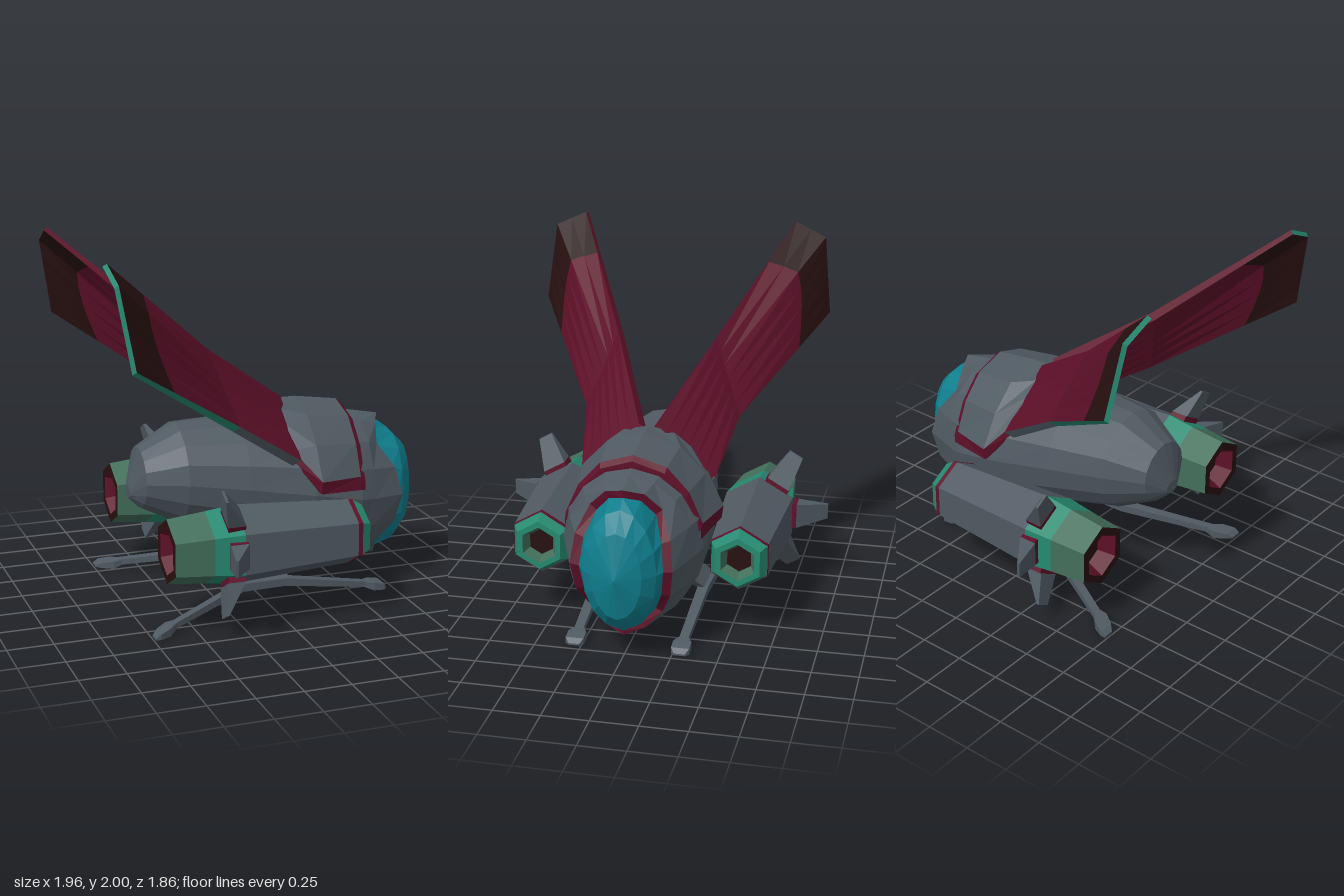
import * as THREE from 'three';

const paint = (name, color) => {
  const m = new THREE.MeshStandardMaterial({ color, flatShading: true, side: THREE.DoubleSide });
  m.name = name;
  return m;
};

const V = (x, y, z) => new THREE.Vector3(x, y, z);

// Skin a grid of points; closed joins each row's end to its start, caps fan the end rows.
function loft(rows, closed = false, caps = false) {
  const p = [];
  const tri = (a, b, c) => p.push(...a.toArray(), ...b.toArray(), ...c.toArray());
  const n = rows[0].length;
  for (let i = 0; i < rows.length - 1; i++) {
    for (let j = 0; j < (closed ? n : n - 1); j++) {
      const k = (j + 1) % n, a = rows[i], b = rows[i + 1];
      tri(a[j], a[k], b[j]);
      tri(a[k], b[k], b[j]);
    }
  }
  if (caps) {
    const first = rows[0], last = rows[rows.length - 1];
    for (let j = 1; j < n - 1; j++) {
      tri(first[0], first[j + 1], first[j]);
      tri(last[0], last[j], last[j + 1]);
    }
  }
  const g = new THREE.BufferGeometry();
  g.setAttribute('position', new THREE.Float32BufferAttribute(p, 3));
  g.computeVertexNormals();
  return g;
}

export function createModel() {
  const grey = paint('hull grey', 0x505a62);
  const red = paint('crimson', 0x5e1029);
  const dark = paint('near black', 0x281011);
  const glass = paint('blue glass', 0x0f7f8e);
  const teal = paint('teal', 0x268a70);
  const green = paint('dull green', 0x436f5b);

  const model = new THREE.Group();
  model.name = 'flyer';
  const add = (parent, name, geo, mat) => {
    const m = new THREE.Mesh(geo, mat);
    m.name = name;
    parent.add(m);
    return m;
  };

  // Fuselage: 16-sided sections along x, ending in the wavy canopy rim
  const N = 16;
  const section = (x, y0, y1, w) => Array.from({ length: N }, (_, i) => {
    const a = i * 2 * Math.PI / N;
    return V(typeof x === 'number' ? x : x(i),
      (y0 + y1) / 2 + (y1 - y0) / 2 * Math.cos(a), w * Math.sin(a));
  });
  const rimX = [0.77, 0.72, 0.69, 0.78, 0.82, 0.78, 0.69, 0.72];
  const rim = i => rimX[i % 8];
  const rimRow = section(rim, 0.12, 0.94, 0.275);
  const glassRow = section(rim, 0.145, 0.90, 0.225);
  add(model, 'fuselage', loft([
    section(-0.70, 0.59, 0.66, 0.05), section(-0.64, 0.53, 0.87, 0.17),
    section(-0.43, 0.42, 0.99, 0.275), section(-0.1, 0.33, 1.0, 0.34),
    section(0.25, 0.23, 1.0, 0.40), section(0.53, 0.13, 0.985, 0.385),
    section(0.62, 0.12, 0.97, 0.35), rimRow,
  ], true, false), grey);
  add(model, 'tailCap', loft([section(-0.70, 0.59, 0.66, 0.05),
    section(-0.70, 0.62, 0.63, 0.001)], true), grey);

  // Canopy
  add(model, 'canopyFrame', loft([rimRow, glassRow], true), red);
  add(model, 'canopy', loft([glassRow,
    section(i => 0.83 + 0.03 * Math.abs(Math.sin(i * Math.PI / 8)), 0.185, 0.855, 0.2),
    section(0.925, 0.28, 0.76, 0.135), section(0.98, 0.515, 0.525, 0.003)], true, true), glass);

  // Shoulder collar: mirrored arches at three stations, with red trim
  const arch = (x, half) => [
    ...half.slice(1).reverse().map(([z, y]) => V(x, y, -z)),
    ...half.map(([z, y]) => V(x, y, z))];
  const arches = [
    arch(0.14, [[0, 1.08], [0.14, 1.05], [0.23, 0.98], [0.32, 0.86]]),
    arch(0.27, [[0, 1.08], [0.20, 1.02], [0.34, 0.88], [0.44, 0.70]]),
    arch(0.52, [[0, 1.045], [0.18, 0.99], [0.30, 0.86], [0.375, 0.69]]),
  ];
  const front = arch(0.55, [[0, 1.02], [0.175, 0.965], [0.29, 0.84], [0.37, 0.66]]);
  const shrink = (row, k, dx) => row.map(v => V(v.x + dx, 0.55 + (v.y - 0.55) * k, v.z * k));
  add(model, 'collar', loft(arches), grey);
  add(model, 'collarFrontTrim', loft([arches[2], front, shrink(front, 0.88, 0)]), red);
  add(model, 'collarRearTrim', loft([arches[0], shrink(arches[0], 0.75, 0.02)]), red);
  for (const s of [1, -1]) {
    add(model, 'collarLowerTrim', loft([
      [V(0.14, 0.86, 0.32 * s), V(0.27, 0.70, 0.44 * s), V(0.52, 0.69, 0.375 * s), V(0.55, 0.66, 0.37 * s)],
      [V(0.14, 0.80, 0.33 * s), V(0.27, 0.63, 0.43 * s), V(0.52, 0.615, 0.38 * s), V(0.55, 0.61, 0.37 * s)],
      [V(0.14, 0.80, 0.2 * s), V(0.27, 0.63, 0.3 * s), V(0.52, 0.61, 0.3 * s), V(0.55, 0.61, 0.3 * s)],
    ]), red);
  }

  // Everything below is one side; the other is its mirror image
  const side = new THREE.Group();
  side.name = 'sideParts';

  // Wing: spanwise rows of chord points, thickened along the normal
  const C = 6;
  const chord = (a, b) => Array.from({ length: C + 1 }, (_, j) => a.clone().lerp(b, j / C));
  const root = chord(V(0.15, 1.08, 0.035), V(0.15, 0.80, 0.36));
  const mid = chord(V(-0.35, 1.44, 0.27), V(-0.22, 1.04, 0.43));
  const tipA = V(-0.97, 1.99, 0.62), tipB = V(-0.96, 1.91, 0.795), tipC = V(-0.89, 1.485, 0.84);
  const tip = [tipA, tipA.clone().lerp(tipB, 0.5), tipB,
    ...[0.25, 0.5, 0.75, 1].map(t => tipB.clone().lerp(tipC, t))];
  const edge = mid.map((p, j) => p.clone().lerp(tip[j], 0.65 + 0.08 * Math.sin(Math.PI * j / C)));
  const normal = tip[0].clone().sub(root[0]).cross(root[C].clone().sub(root[0])).normalize();
  const rows = [root, mid, edge, tip], thick = [0.03, 0.025, 0.017, 0.014];
  const skin = s => rows.map((r, i) => r.map(p => p.clone().addScaledVector(normal, s * thick[i])));
  const top = skin(1), bottom = skin(-1);
  for (const [name, f] of [['Upper', top], ['Lower', bottom]]) {
    add(side, 'wing' + name, loft(f.slice(0, 3)), red);
    add(side, 'wingTip' + name, loft(f.slice(2)), dark);
  }
  const rail = (f, j, a, b) => f.slice(a, b).map(r => r[j]);
  add(side, 'wingTipEdge', loft([top[3], bottom[3]]), teal);
  add(side, 'wingOuterEdge', loft([rail(top, C, 1, 4), rail(bottom, C, 1, 4)]), teal);
  add(side, 'wingRootEdge', loft([rail(top, C, 0, 2), rail(bottom, C, 0, 2)]), grey);
  add(side, 'wingInnerEdge', loft([rail(top, 0, 0, 4), rail(bottom, 0, 0, 4)]), red);

  // Engine: hexagonal rings along x as [name, x0, r0, x1, r1, material]
  const engine = new THREE.Group();
  engine.name = 'engine';
  engine.position.set(0, 0.45, 0.55);
  side.add(engine);
  for (const [name, x0, r0, x1, r1, mat] of [
    ['exhaustCore', -0.56, 0.0, -0.56, 0.085, dark],
    ['exhaustThroat', -0.56, 0.085, -0.65, 0.13, red],
    ['exhaustRim', -0.65, 0.13, -0.65, 0.178, dark],
    ['nozzleRear', -0.65, 0.178, -0.44, 0.2, green],
    ['nozzleFront', -0.44, 0.2, -0.28, 0.22, teal],
    ['engineBody', -0.28, 0.22, 0.37, 0.18, grey],
    ['engineBand', 0.37, 0.18, 0.395, 0.178, red],
    ['intakeCowl', 0.395, 0.175, 0.45, 0.14, teal],
    ['intakeLip', 0.45, 0.14, 0.45, 0.105, teal],
    ['intakeThroat', 0.45, 0.105, 0.39, 0.075, green],
    ['intakeCore', 0.39, 0.075, 0.39, 0.0, dark],
  ]) {
    const ring = (x, r) => Array.from({ length: 6 }, (_, i) =>
      V(x, r * Math.cos(i * Math.PI / 3), r * Math.sin(i * Math.PI / 3)));
    add(engine, name, loft([ring(x0, r0), ring(x1, r1)], true), mat);
  }

  // Three swept fins per engine on red mounts
  const slab = (r, x0, x1, w) => [V(x0, -w, r), V(x1, -w, r), V(x1, w, r), V(x0, w, r)];
  for (let i = -1; i <= 1; i++) {
    const fin = new THREE.Group();
    fin.name = 'fin';
    fin.rotation.x = i * Math.PI / 3;
    engine.add(fin);
    add(fin, 'finMount', loft([slab(0.16, -0.36, -0.265, 0.075), slab(0.215, -0.365, -0.27, 0.072)], true, true), red);
    add(fin, 'finBlade', loft([slab(0.215, -0.37, -0.268, 0.07), slab(0.38, -0.40, -0.385, 0.043)], true, true), grey);
  }

  // Landing skid: bent bar, flared feet and a slanted strut; points are [x, y, z, halfWidth, halfHeight]
  const bar = pts => loft(pts.map(([x, y, z, w, h]) =>
    [V(x, y - h, z - w), V(x, y + h, z - w), V(x, y + h, z + w), V(x, y - h, z + w)]), true, true);
  add(side, 'skid', bar([[0.62, 0.03, 0.29, 0.025, 0.015], [0.1, 0.115, 0.3, 0.03, 0.022],
    [-0.15, 0.115, 0.31, 0.03, 0.022], [-0.64, 0.03, 0.55, 0.025, 0.015]]), grey);
  add(side, 'frontFoot', bar([[0.58, 0.035, 0.29, 0.025, 0.015], [0.63, 0.025, 0.29, 0.05, 0.022],
    [0.69, 0.018, 0.29, 0.05, 0.018], [0.71, 0.005, 0.29, 0.03, 0.005]]), grey);
  add(side, 'rearFoot', bar([[-0.6, 0.035, 0.53, 0.025, 0.015], [-0.65, 0.022, 0.555, 0.05, 0.022],
    [-0.71, 0.015, 0.59, 0.045, 0.015], [-0.74, 0.005, 0.605, 0.03, 0.005]]), grey);
  const strutRow = (x0, x1, y, z) => [V(x0, y, z - 0.025), V(x1, y, z - 0.025), V(x1, y, z + 0.025), V(x0, y, z + 0.025)];
  add(side, 'strut', loft([strutRow(-0.15, 0.1, 0.12, 0.3), strutRow(-0.02, 0.23, 0.29, 0.14)], true, true), grey);

  const mirrored = side.clone();
  mirrored.name = 'sidePartsMirrored';
  mirrored.scale.z = -1;
  model.add(side, mirrored);
  return model;
}
